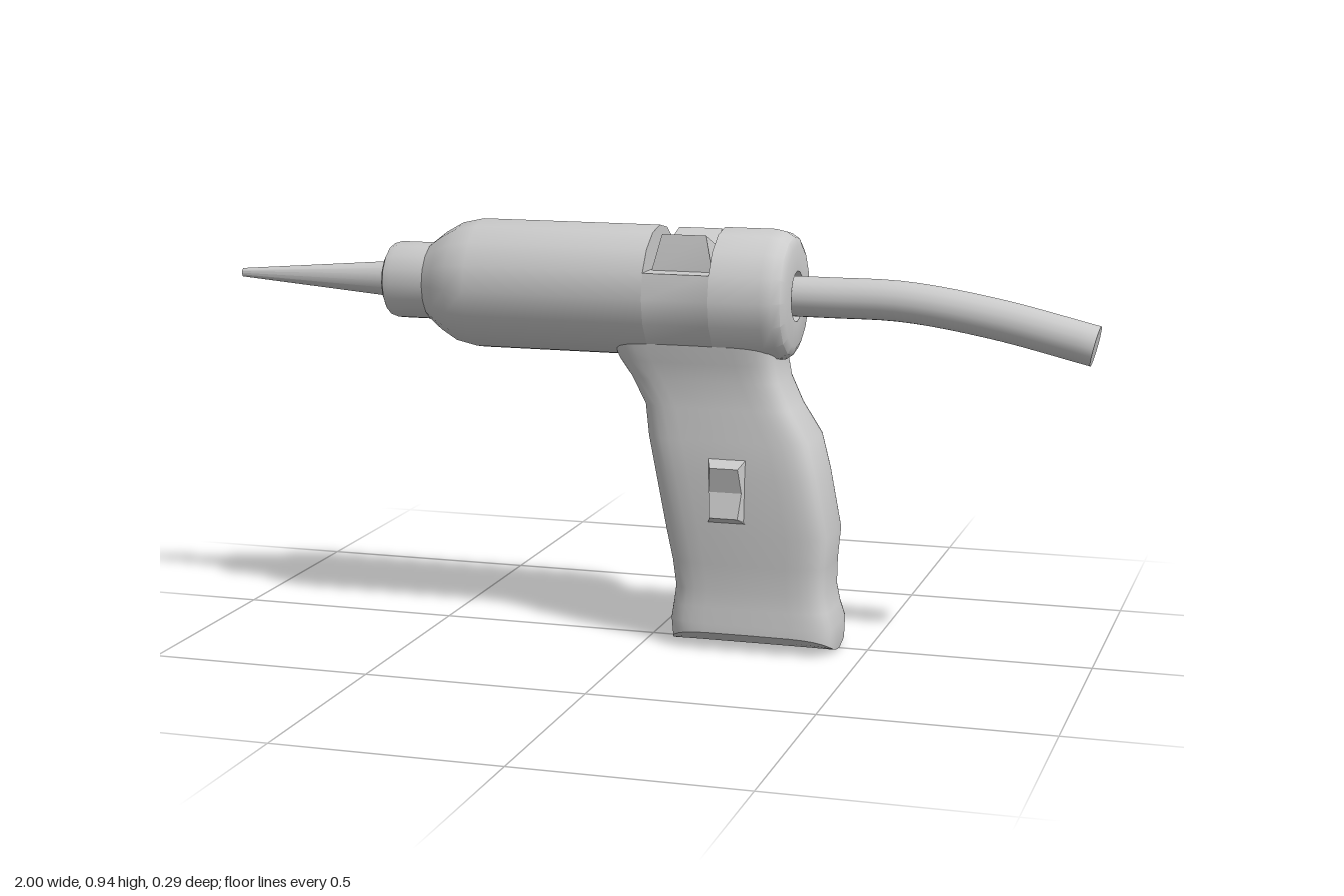
import * as THREE from 'three';
import { toCreasedNormals } from 'three/addons/utils/BufferGeometryUtils.js';

const AXIS_Y = 0.795, RADIUS = 0.147, SIDES = 16;
const SLOT = [0.015, 0.165]; // slot across the top of the barrel

export function createModel() {
  const group = new THREE.Group();
  const material = new THREE.MeshStandardMaterial({ color: 0xcccccc });

  const add = (name, geometry, crease = 0.62) => {
    const mesh = new THREE.Mesh(toCreasedNormals(geometry, crease), material);
    mesh.name = name;
    group.add(mesh);
  };

  // Turned part along x; profile is a list of [x, radius]
  const turned = (profile) =>
    new THREE.LatheGeometry(profile.map(([x, r]) => new THREE.Vector2(r, x)), SIDES)
      .rotateZ(-Math.PI / 2).translate(0, AXIS_Y, 0);

  // Nozzle and collar
  add('nozzle', turned([[-1, 0], [-1, 0.01], [-0.6, 0.043]]));
  add('nozzleCollar', turned([[-0.626, 0], [-0.626, 0.068], [-0.618, 0.082], [-0.6, 0.088], [-0.5, 0.088]]));

  // Barrel: front and rear turned parts, with a cut-down section under the slot
  add('barrelFront', turned([[-0.52, 0], [-0.52, 0.09], [-0.49, 0.113], [-0.45, 0.136],
    [-0.4, RADIUS], [SLOT[0], RADIUS], [SLOT[0], 0]]));
  add('barrelRear', turned([[SLOT[1], 0], [SLOT[1], RADIUS], [0.28, RADIUS], [0.305, 0.142],
    [0.322, 0.131], [0.33, 0.113], [0.33, 0.056], [0.24, 0.056], [0.24, 0]]));
  const cut = new THREE.Shape();
  for (let i = -9; i <= 1; i++) {
    const a = (i * 2 * Math.PI) / SIDES;
    const p = [RADIUS * Math.cos(a), RADIUS * Math.sin(a)];
    i === -9 ? cut.moveTo(...p) : cut.lineTo(...p);
  }
  add('barrelSlot', new THREE.ExtrudeGeometry(cut, { depth: SLOT[1] - SLOT[0], bevelEnabled: false })
    .rotateY(Math.PI / 2).translate(SLOT[0], AXIS_Y, 0));

  // Rocker with a dished top: long along x, up along y, tapering in z
  const rocker = (base, top, width, topWidth, height, dish) => {
    const s = new THREE.Shape();
    s.moveTo(-base, -0.01);
    [[base, -0.01], [base, 0], [top, height], [0, dish], [-top, height], [-base, 0]]
      .forEach((p) => s.lineTo(...p));
    const g = new THREE.ExtrudeGeometry(s, { depth: width, bevelEnabled: false }).translate(0, 0, -width / 2);
    const pos = g.attributes.position;
    for (let i = 0; i < pos.count; i++) {
      const k = Math.max(0, pos.getY(i)) / height;
      pos.setZ(i, pos.getZ(i) * (1 + (topWidth / width - 1) * k));
    }
    return g.rotateY(Math.PI / 2);
  };
  add('topSlider', rocker(0.083, 0.068, 0.14, 0.1, 0.08, 0.05).translate(0.09, 0.85, 0), 0.2);
  add('gripSwitch', rocker(0.072, 0.056, 0.085, 0.064, 0.028, 0.014)
    .rotateX(Math.PI / 2).translate(0.2, 0.37, 0.104), 0.2);

  // Grip: rounded sections as [y, front x, back x, half width]
  const rows = [
    [0.74, -0.08, 0.3, 0.108], [0.68, -0.075, 0.3, 0.103], [0.65, -0.063, 0.302, 0.097],
    [0.61, -0.035, 0.31, 0.093], [0.55, -0.004, 0.337, 0.094], [0.48, 0.005, 0.38, 0.104],
    [0.4, 0.021, 0.4, 0.106], [0.27, 0.046, 0.425, 0.105], [0.2, 0.06, 0.419, 0.099],
    [0.14, 0.068, 0.418, 0.097], [0.1, 0.063, 0.426, 0.099], [0.065, 0.058, 0.437, 0.104],
  ];
  const N = 32, verts = [], index = [];
  const round = (v) => Math.sign(v) * Math.abs(v) ** 0.4;
  const ring = (x0, x1, half, squeeze, yOf) => {
    for (let i = 0; i < N; i++) {
      const a = (i / N) * Math.PI * 2;
      const z = round(Math.sin(a)) * half * squeeze;
      verts.push((x0 + x1) / 2 + (round(Math.cos(a)) * (x1 - x0)) / 2, yOf(z), z);
    }
  };
  rows.forEach(([y, x0, x1, half]) => ring(x0, x1, half, 1, () => y));
  // Underside, arched across z and closed along the middle
  const sole = (z) => 0.004 + 0.041 * (z / 0.105) ** 2;
  [1, 0.75, 0.5, 0.25, 0].forEach((s) => ring(0.062, 0.435, 0.105, s, sole));
  for (let r = 0; r < rows.length + 4; r++) {
    for (let i = 0; i < N; i++) {
      const j = (i + 1) % N, a = r * N + i, b = r * N + j;
      index.push(a, b, a + N, b, b + N, a + N);
    }
  }
  const grip = new THREE.BufferGeometry();
  grip.setAttribute('position', new THREE.Float32BufferAttribute(verts, 3));
  grip.setIndex(index);
  add('grip', grip, 0.75);

  // Glue rod, drooping behind the barrel
  const path = new THREE.CatmullRomCurve3([[0.2, 0.795], [0.4, 0.795], [0.57, 0.793], [0.77, 0.764], [0.985, 0.715]]
    .map(([x, y]) => new THREE.Vector3(x, y, 0)));
  add('glueRod', new THREE.TubeGeometry(path, 20, 0.045, SIDES));
  const t = path.getTangent(1);
  const end = path.getPoint(1);
  add('glueRodEnd', new THREE.CircleGeometry(0.045, SIDES).rotateY(Math.PI / 2)
    .rotateZ(Math.atan2(t.y, t.x)).translate(end.x, end.y, 0));

  return group;
}
